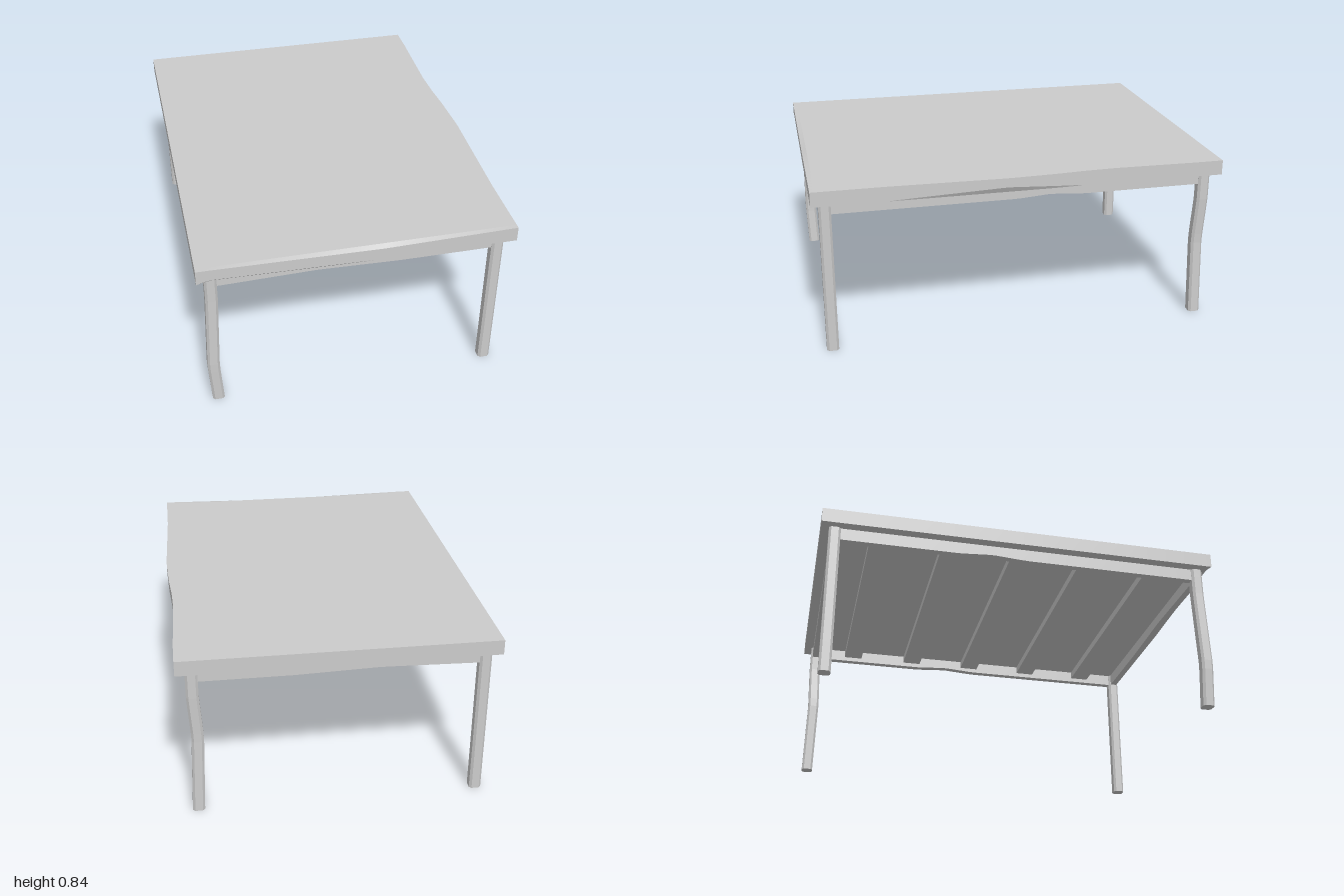
import * as THREE from 'three';

const material = new THREE.MeshStandardMaterial({ color: 0xcccccc, flatShading: true });

// Triangle-shaped bump: 0 at a and b, 1 at the peak
function tent(t, a, peak, b) {
  if (t <= a || t >= b) return 0;
  return t < peak ? (t - a) / (peak - a) : (b - t) / (b - peak);
}

// Move every vertex of a geometry by a rule
function warp(geometry, rule) {
  const pos = geometry.attributes.position;
  const v = new THREE.Vector3();
  for (let i = 0; i < pos.count; i++) {
    v.fromBufferAttribute(pos, i);
    rule(v);
    pos.setXYZ(i, v.x, v.y, v.z);
  }
  geometry.computeVertexNormals();
  return geometry;
}

function add(group, name, geometry) {
  const mesh = new THREE.Mesh(geometry, material);
  mesh.name = name;
  group.add(mesh);
}

// Slab with hand-worn front and side edges
function tableTop() {
  const g = new THREE.BoxGeometry(1.497, 0.073, 2, 40, 2, 40);
  g.translate(-0.0085, 0.8035, 0);
  return warp(g, (p) => {
    const side = p.x > 0.739, front = p.z > 0.999;
    const bottom = p.y < 0.768, top = p.y > 0.839;
    const x = p.x, z = p.z;
    if (!bottom && !top) {
      p.y = 0.769;
      if (front) p.y += 0.016 * tent(x, -0.757, -0.7, 0.05);
      if (side) p.y += 0.026 * tent(z, -0.3, 0.08, 0.65);
    }
    if (side) {
      p.x -= 0.01 * tent(z, -0.85, -0.45, -0.15);
      if (!bottom) p.x += 0.015 * tent(z, -0.3, 0.08, 0.65);
    }
    if (front && bottom) p.z -= 0.02 * tent(x, -0.757, -0.7, 0.05);
    if (front && top) p.y -= 0.013 * tent(x, -0.7, 0.1, 0.72);
    if (z > 0.94 && z < 0.96) p.z = 0.977;
  });
}

// Chamfered square post that bows by (bx, bz) at a given height
function leg(x, z, bx, bz, bendY) {
  const h = 0.029, c = 0.011;
  const corners = [[h, h - c], [h - c, h], [c - h, h], [-h, h - c],
    [-h, c - h], [c - h, -h], [h - c, -h], [h, c - h]];
  const shape = new THREE.Shape(corners.map(([a, b]) => new THREE.Vector2(a, b)));
  const g = new THREE.ExtrudeGeometry(shape, { depth: 0.768, steps: 16, bevelEnabled: false });
  g.rotateX(-Math.PI / 2);
  return warp(g, (p) => {
    const k = tent(p.y, 0, bendY, 0.62);
    p.x += x + bx * k;
    p.z += z + bz * k;
  });
}

export function createModel() {
  const table = new THREE.Group();
  table.name = 'table';
  add(table, 'tableTop', tableTop());

  // Legs
  add(table, 'frontRightLeg', leg(-0.69, 0.934, -0.014, 0.007, 0.22));
  add(table, 'frontLeftLeg', leg(0.667, 0.934, 0, 0, 0.4));
  add(table, 'backLeftLeg', leg(0.667, -0.932, -0.014, 0.008, 0.4));
  add(table, 'backRightLeg', leg(-0.69, -0.932, 0, 0, 0.4));

  // Aprons joining the legs, with slightly raised lower edges
  for (const s of [1, -1]) {
    const end = new THREE.BoxGeometry(1.33, 0.062, 0.034, 30, 1, 1);
    end.translate(-0.0115, 0.736, s * 0.934);
    add(table, s > 0 ? 'frontApron' : 'backApron', warp(end, (p) => {
      if (p.y < 0.72) p.y += 0.012 * tent(p.x, -0.66, -0.2, 0.2);
    }));
    const side = new THREE.BoxGeometry(0.034, 0.062, 1.83, 40, 1, 40);
    side.translate(-0.0115 + s * 0.6785, 0.736, 0);
    add(table, s > 0 ? 'leftApron' : 'rightApron', warp(side, (p) => {
      if (p.y < 0.72) p.y += 0.012 * tent(p.z, -0.31, -0.15, 0.02);
    }));
  }

  // Cross slats under the top
  for (let i = -2; i <= 2; i++) {
    const slat = new THREE.BoxGeometry(1.34, 0.04, 0.1);
    slat.translate(-0.0115, 0.748, i * 0.355);
    add(table, 'crossSlat', slat);
  }
  return table;
}
